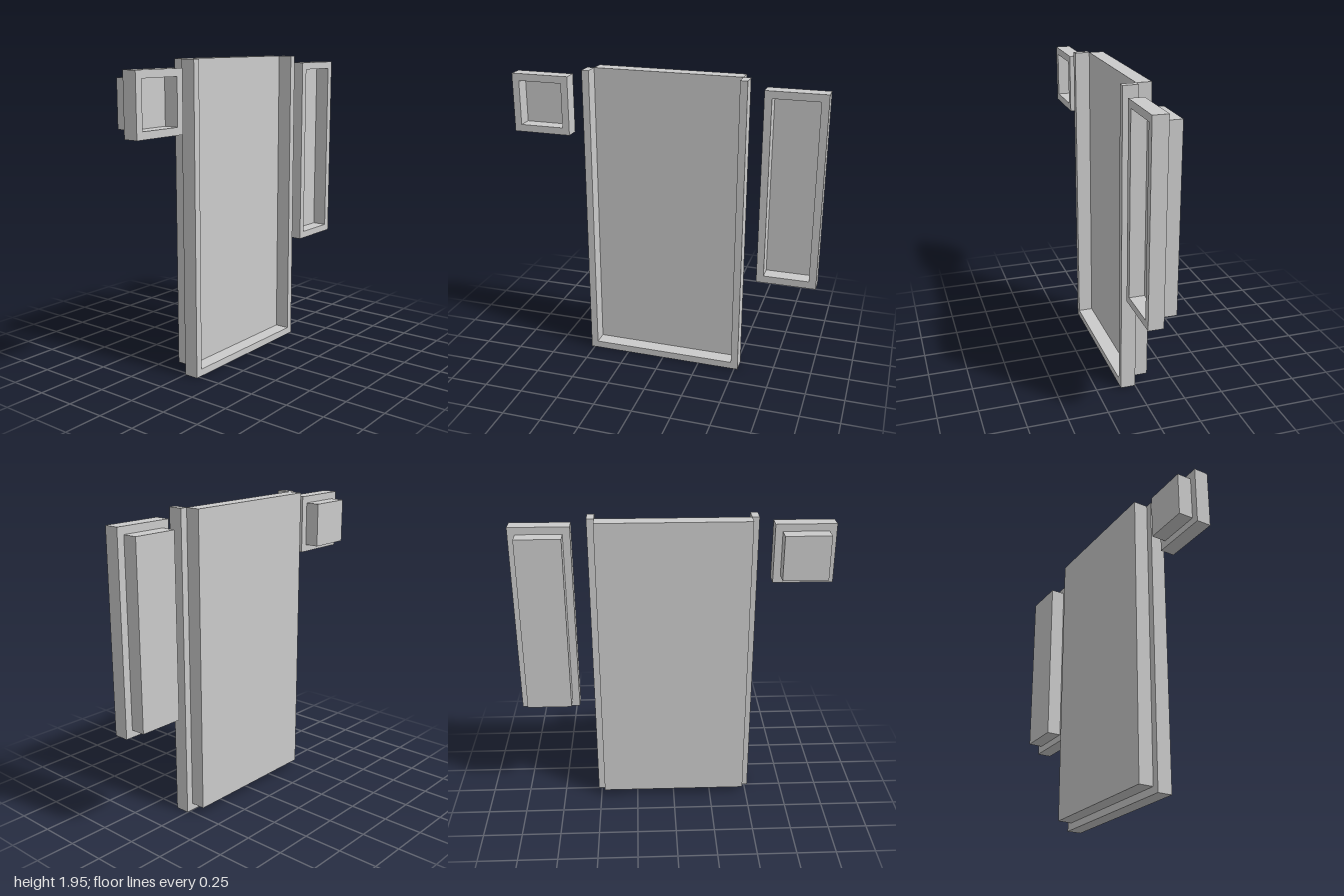
import * as THREE from 'three';

const DEPTH = 0.095; // thickness of both frames and panels
const BORDER = 0.046; // width of the frame border

// Openings are given by their outer limits in z and y; the door has no top rail.
const OPENINGS = [
  { name: 'door', z0: -0.522, z1: 0.522, y0: 0, y1: 1.953, openTop: true },
  { name: 'smallWindow', z0: 0.622, z1: 1, y0: 1.527, y1: 1.905 },
  { name: 'tallWindow', z0: -1, z1: -0.622, y0: 0.67, y1: 1.905 },
];

const polygon = (points) => points.map(([z, y]) => new THREE.Vector2(z, y));

// Frame outline drawn in the z-y plane: a U for the door, a closed ring for windows
function frameShape({ z0, z1, y0, y1, openTop }, inner) {
  const { a, b, c, d } = inner;
  if (openTop) {
    return new THREE.Shape(polygon([
      [z0, y0], [z1, y0], [z1, y1], [b, y1], [b, c], [a, c], [a, y1], [z0, y1],
    ]));
  }
  const shape = new THREE.Shape(polygon([[z0, y0], [z1, y0], [z1, y1], [z0, y1]]));
  shape.holes.push(new THREE.Path(polygon([[a, c], [a, d], [b, d], [b, c]])));
  return shape;
}

export function createModel() {
  const model = new THREE.Group();
  const material = new THREE.MeshStandardMaterial({ color: 0xcccccc, flatShading: true });

  for (const opening of OPENINGS) {
    const group = new THREE.Group();
    group.name = opening.name;

    const inner = {
      a: opening.z0 + BORDER,
      b: opening.z1 - BORDER,
      c: opening.y0 + BORDER,
      d: opening.openTop ? opening.y1 : opening.y1 - BORDER,
    };

    // Raised frame on the +x side
    const frameGeometry = new THREE.ExtrudeGeometry(frameShape(opening, inner), {
      depth: DEPTH,
      bevelEnabled: false,
    });
    frameGeometry.rotateY(-Math.PI / 2).translate(DEPTH, 0, 0);
    const frame = new THREE.Mesh(frameGeometry, material);
    frame.name = opening.name + 'Frame';

    // Solid panel behind the frame, as large as its opening
    const panel = new THREE.Mesh(
      new THREE.BoxGeometry(DEPTH, inner.d - inner.c, inner.b - inner.a),
      material,
    );
    panel.name = opening.name + 'Panel';
    panel.position.set(-DEPTH / 2, (inner.c + inner.d) / 2, (inner.a + inner.b) / 2);

    group.add(frame, panel);
    model.add(group);
  }
  return model;
}
